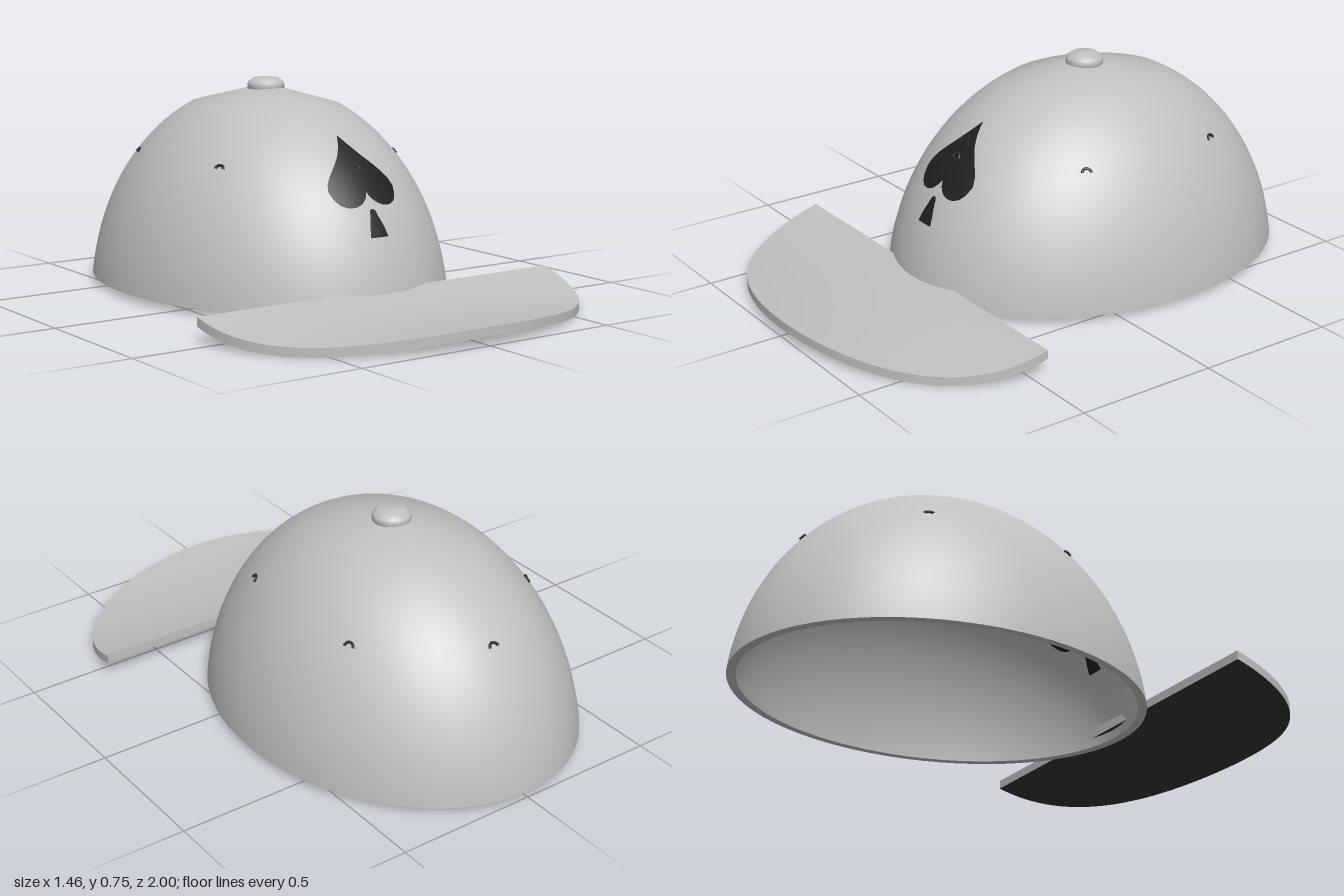
import * as THREE from 'three';

// Crown: ellipsoid centred below its cut base
const RX = 0.595, RZ = 0.751, HY = 0.803, CY = -0.08, CZ = -0.255;
const BASE = 0.02, WALL = 0.957;

const material = (name, color, side = THREE.FrontSide) => {
  const m = new THREE.MeshStandardMaterial({ color, side });
  m.name = name;
  return m;
};

// A plane grid whose points are placed by fn(u, v) -> [x, y, z]
function sheet(nu, nv, fn) {
  const geo = new THREE.PlaneGeometry(1, 1, nu, nv);
  const p = geo.attributes.position;
  for (let i = 0; i < p.count; i++) p.setXYZ(i, ...fn(p.getX(i) + 0.5, p.getY(i) + 0.5));
  geo.computeVertexNormals();
  return geo;
}

// Linear lookup through [x, y] pairs
function lookup(pairs, x) {
  for (let i = 1; i < pairs.length; i++) {
    const [x0, y0] = pairs[i - 1], [x1, y1] = pairs[i];
    if (x <= x1) return y0 + (y1 - y0) * (x - x0) / (x1 - x0);
  }
  return pairs[pairs.length - 1][1];
}

// z of the front of the crown wall at scale s
function crownZ(x, y, s) {
  const c = (y - CY) / (HY * s);
  return CZ + RZ * s * Math.sqrt(Math.max(0, 1 - c * c - (x / (RX * s)) ** 2));
}

// Angle from the top at which a wall of scale s meets the base
const baseAngle = s => Math.acos((BASE - CY) / (HY * s));

// Unit dome, smooth-shaded, its cap lowered to a shallow cone
function dome(s) {
  const geo = new THREE.SphereGeometry(s, 72, 40, 0, Math.PI * 2, 0, baseAngle(s));
  const p = geo.attributes.position;
  for (let i = 0; i < p.count; i++) {
    const r = Math.hypot(p.getX(i), p.getZ(i)) / s;
    if (r < 0.416) p.setY(i, s * (1 - 0.091 * r / 0.416));
  }
  return geo;
}

export function createModel() {
  const group = new THREE.Group();
  const cloth = material('grey cloth', 0xc0c0c0, THREE.DoubleSide);
  const black = material('black print', 0x202020, THREE.DoubleSide);
  const lining = material('dark brim lining', 0x323530);
  const stitch = material('dark stitching', 0x2c2c2c);
  const add = (name, geo, mat, parent = group) => {
    const mesh = new THREE.Mesh(geo, mat);
    mesh.name = name;
    parent.add(mesh);
    return mesh;
  };

  // Crown: outer and inner walls joined by a rim
  const crown = new THREE.Group();
  crown.name = 'crown';
  crown.position.set(0, CY, CZ);
  crown.scale.set(RX, HY, RZ);
  group.add(crown);
  add('crownOutside', dome(1), cloth, crown);
  add('crownInside', dome(WALL), cloth, crown);
  const rim = [WALL, 1].map(s =>
    new THREE.Vector2(s * Math.sin(baseAngle(s)), (BASE - CY) / HY));
  add('crownRim', new THREE.LatheGeometry(rim, 72), cloth, crown);

  // Top button
  const profile = [[0, 0.69], [0.06, 0.694], [0.066, 0.704], [0.067, 0.716],
    [0.064, 0.728], [0.045, 0.742], [0, 0.746]];
  add('button', new THREE.LatheGeometry(profile.map(p => new THREE.Vector2(...p)), 32), cloth)
    .position.z = CZ;

  // Brim: half oval, dished in the middle and bowed down towards its sides
  const T = 0.031;
  const brimPoint = (u, depth, drop) => {
    const x = -0.73 * Math.cos(Math.PI * u);
    const s = Math.sin(Math.PI * u) * depth;
    const y = 0.083 - 0.023 * s - 0.093 * s * x * x - 0.085 * s * (1 - s);
    return [x, y - drop, 0.44 + 0.56 * s];
  };
  const brim = new THREE.Group();
  brim.name = 'brim';
  group.add(brim);
  add('brimTop', sheet(64, 12, (u, v) => brimPoint(u, 1 - v, 0)), cloth, brim);
  add('brimUnderside', sheet(64, 12, (u, v) => brimPoint(1 - u, 1 - v, T)), lining, brim);
  add('brimEdge', sheet(64, 1, (u, v) => brimPoint(u, 1, T * (1 - v))), cloth, brim);
  add('brimBack', sheet(64, 1, (u, v) => brimPoint(1 - u, 0, T * (1 - v))), cloth, brim);

  // Spade print, laid on both faces of the crown wall
  const upper = [[0, 0.577], [0.02, 0.548], [0.05, 0.513], [0.085, 0.48], [0.11, 0.455],
    [0.127, 0.433], [0.135, 0.411]];
  const lower = [[0, 0.401], [0.012, 0.381], [0.03, 0.367], [0.055, 0.357], [0.085, 0.356],
    [0.11, 0.365], [0.127, 0.383], [0.135, 0.408]];
  const stemWidth = [[0, 0.036], [0.35, 0.029], [0.75, 0.016], [0.93, 0.012], [1, 0.003]];
  const leaf = (u, v) => {
    const x = 0.135 * Math.sin((u - 0.5) * Math.PI), a = Math.abs(x);
    return [x, THREE.MathUtils.lerp(lookup(lower, a), lookup(upper, a), v)];
  };
  const stem = (u, v) => [(2 * u - 1) * lookup(stemWidth, v), 0.259 + 0.09 * v];
  for (const [side, s, gap] of [['Outside', 1, 0.003], ['Inside', WALL, -0.004]]) {
    for (const [part, fn] of [['spadeLeaf', leaf], ['spadeStem', stem]]) {
      add(part + side, sheet(40, 16, (u, v) => {
        const [x, y] = fn(u, v);
        return [x, y, crownZ(x, y, s) + gap];
      }), black);
    }
  }

  // Six small stitched eyelets lying on the crown
  const arch = new THREE.TorusGeometry(0.016, 0.005, 8, 16, Math.PI);
  const c = (0.47 - CY) / HY, r = Math.sqrt(1 - c * c);
  for (let i = 0; i < 6; i++) {
    const a = i * Math.PI / 3;
    const dir = new THREE.Vector3(r * Math.sin(a), c, r * Math.cos(a));
    const size = new THREE.Vector3(RX, HY, RZ);
    const normal = dir.clone().divide(size).normalize();
    const eyelet = add('eyelet', arch, stitch);
    eyelet.position.copy(dir).multiply(size).add(new THREE.Vector3(0, CY, CZ))
      .addScaledVector(normal, 0.002);
    eyelet.lookAt(normal.add(eyelet.position));
  }
  return group;
}
